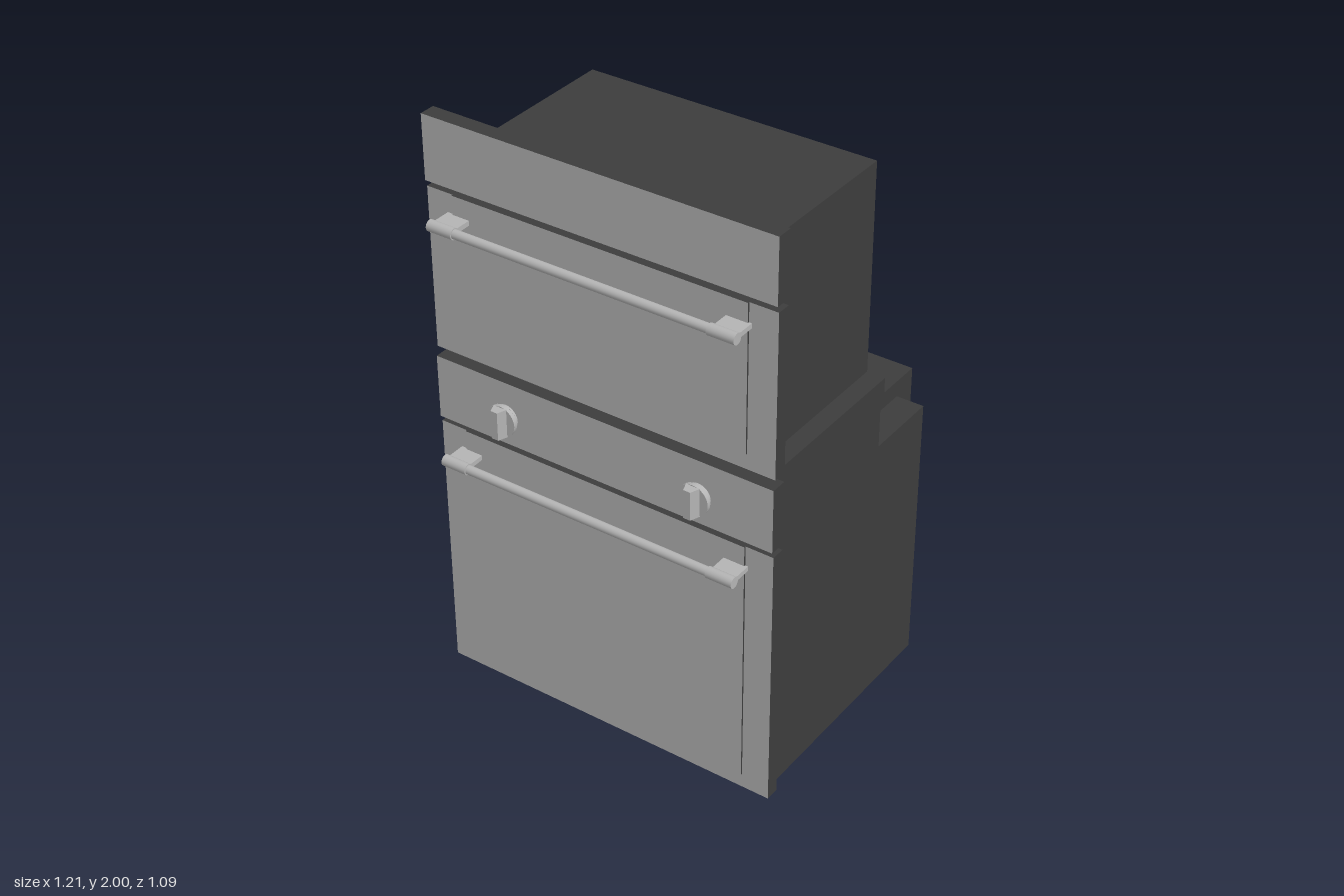
import * as THREE from 'three';

export function createModel() {
  const group = new THREE.Group();
  const steel = new THREE.MeshStandardMaterial({ color: 0xb4b4b4 });
  steel.name = 'brushed steel';
  const casing = new THREE.MeshStandardMaterial({ color: 0x3c3c3c });
  casing.name = 'dark casing';
  // dark on every side but the steel front
  const fronted = [casing, casing, casing, casing, steel, casing];

  function add(name, geometry, material, parent = group) {
    const mesh = new THREE.Mesh(geometry, material);
    mesh.name = name;
    parent.add(mesh);
    return mesh;
  }
  // box given by its limits on each axis
  function box(name, [x0, x1], [y0, y1], [z0, z1], material, parent) {
    const geometry = new THREE.BoxGeometry(x1 - x0, y1 - y0, z1 - z0);
    geometry.translate((x0 + x1) / 2, (y0 + y1) / 2, (z0 + z1) / 2);
    return add(name, geometry, material, parent);
  }

  // upper oven casing with its rear cover
  box('upperCasing', [-0.5, 0.5], [1.185, 1.895], [-0.21, 0.402], casing);
  box('upperRearCover', [-0.37, 0.365], [1.293, 1.742], [-0.315, -0.21], casing);

  // side rails carrying the upper oven
  for (const s of [-1, 1]) {
    const x = s < 0 ? [-0.562, -0.5] : [0.5, 0.562];
    box('sideRail', x, [1.09, 1.185], [-0.21, 0.402], casing);
  }
  box('railInfill', [-0.5, 0.5], [1.09, 1.185], [-0.192, 0.402], casing);

  // lower oven casing: stepped side profile extruded across the width
  const profile = new THREE.Shape();
  profile.moveTo(-0.402, 0);
  profile.lineTo(0.457, 0);
  profile.lineTo(0.457, 0.948);
  profile.lineTo(0.192, 0.948);
  profile.lineTo(0.192, 1.09);
  profile.lineTo(-0.402, 1.09);
  profile.closePath();
  const lower = new THREE.ExtrudeGeometry(profile, { depth: 1.124, bevelEnabled: false });
  lower.translate(0, 0, -0.562);
  lower.rotateY(Math.PI / 2);
  add('lowerCasing', lower, casing);
  box('lowerRearCover', [-0.475, 0.467], [0, 1.005], [-0.545, -0.192], casing);

  // front panels
  const wide = [-0.605, 0.605];
  box('topPanel', wide, [1.785, 2], [0.402, 0.456], fronted);
  box('controlPanel', wide, [0.967, 1.185], [0.402, 0.456], fronted);

  // doors with a slightly raised inner panel and a bar handle
  function door(name, bottom, top, innerBottom, handleY) {
    const g = new THREE.Group();
    g.name = name;
    group.add(g);
    box('doorSlab', wide, [bottom, top], [0.402, 0.449], fronted, g);
    box('doorPanel', [-0.51, 0.51], [innerBottom, top], [0.449, 0.455], fronted, g);

    const rod = (label, x0, x1, r) => {
      const bar = new THREE.CylinderGeometry(r, r, x1 - x0, 24);
      bar.rotateZ(Math.PI / 2);
      bar.translate((x0 + x1) / 2, handleY, 0.527);
      add(label, bar, steel, g);
    };
    rod('handleBar', -0.45, 0.44, 0.015);
    for (const [x0, x1] of [[-0.535, -0.445], [0.435, 0.525]]) {
      rod('handleSleeve', x0, x1, 0.0185);
      box('handleMount', [x0 + 0.004, x1 - 0.005],
        [handleY - 0.008, handleY + 0.008], [0.45, 0.525], steel, g);
    }
  }
  door('upperDoor', 1.217, 1.764, 1.27, 1.693);
  door('lowerDoor', 0.03, 0.947, 0.082, 0.872);

  // knobs: a stepped dial with a tapered grip
  const steps = [[0.044, 0], [0.044, 0.008], [0.036, 0.008], [0.036, 0.015],
    [0.052, 0.015], [0.052, 0.028], [0, 0.028]];
  for (const x of [-0.346, 0.35]) {
    const knob = new THREE.Group();
    knob.name = 'knob';
    knob.position.set(x, 1.063, 0.455);
    group.add(knob);

    // each step is its own band, so its edges stay sharp
    for (let i = 0; i < steps.length - 1; i++) {
      const points = [steps[i], steps[i + 1]].map(([r, h]) => new THREE.Vector2(r, h));
      const band = new THREE.LatheGeometry(points, 32);
      band.rotateX(Math.PI / 2);
      add('knobDial', band, steel, knob);
    }

    const grip = new THREE.Shape();
    grip.moveTo(-0.024, 0.026);
    grip.lineTo(0.024, 0.026);
    grip.lineTo(0.012, 0.058);
    grip.lineTo(-0.012, 0.058);
    grip.closePath();
    const gripGeometry = new THREE.ExtrudeGeometry(grip, { depth: 0.098, bevelEnabled: false });
    gripGeometry.translate(0, 0, -0.049);
    gripGeometry.rotateX(Math.PI / 2);
    add('knobGrip', gripGeometry, steel, knob);
  }

  return group;
}
